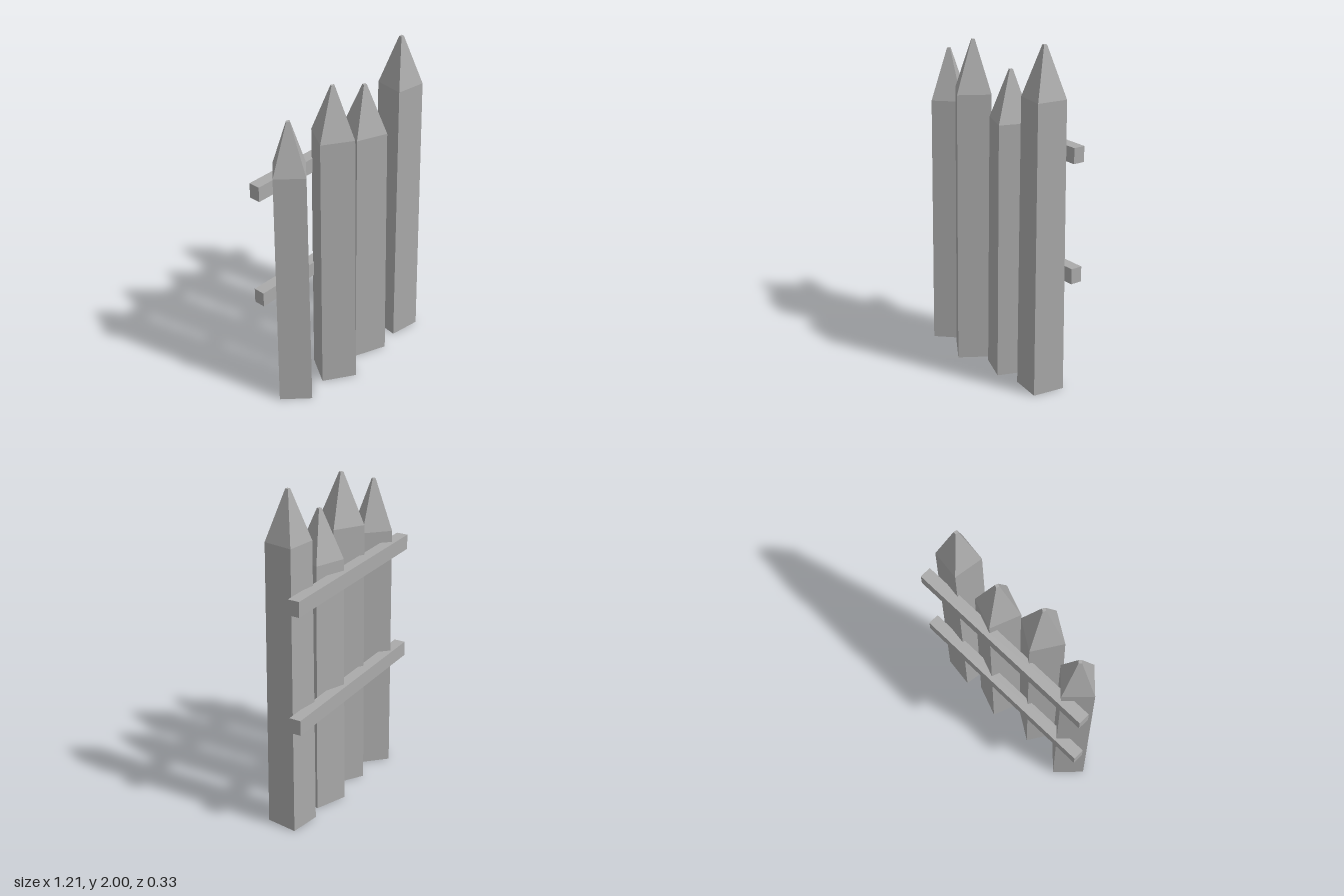
import * as THREE from 'three';

export function createModel() {
  const group = new THREE.Group();
  const wood = new THREE.MeshStandardMaterial({ color: 0xaaaaaa, flatShading: true });
  wood.name = 'grey wood';

  // Four-sided stakes, slightly tapered, each with a sharpened, blunt-ended tip
  const stakes = [
    // x, z, base radius, shoulder radius, shoulder height, top height, turn in degrees
    [-0.45, -0.02, 0.136, 0.127, 1.52, 1.82, 0],
    [-0.15, 0.022, 0.148, 0.138, 1.63, 1.93, 12.5],
    [0.15, -0.016, 0.145, 0.135, 1.52, 1.81, 24],
    [0.45, -0.008, 0.136, 0.126, 1.71, 2.0, 37],
  ];
  stakes.forEach(([x, z, base, shoulder, shoulderY, topY, turn], i) => {
    const profile = [
      [0, 0], [base, 0], [shoulder, shoulderY], [0.013, topY], [0, topY],
    ].map(([r, y]) => new THREE.Vector2(r, y));
    const stake = new THREE.Mesh(new THREE.LatheGeometry(profile, 4), wood);
    stake.name = `stake${i + 1}`;
    stake.position.set(x, 0, z);
    stake.rotation.y = THREE.MathUtils.degToRad(turn);
    group.add(stake);
  });

  // Two rails across the back
  for (const [name, y] of [['lowerRail', 0.707], ['upperRail', 1.407]]) {
    const rail = new THREE.Mesh(new THREE.BoxGeometry(1.212, 0.09, 0.07), wood);
    rail.name = name;
    rail.position.set(-0.002, y, -0.132);
    group.add(rail);
  }

  return group;
}
